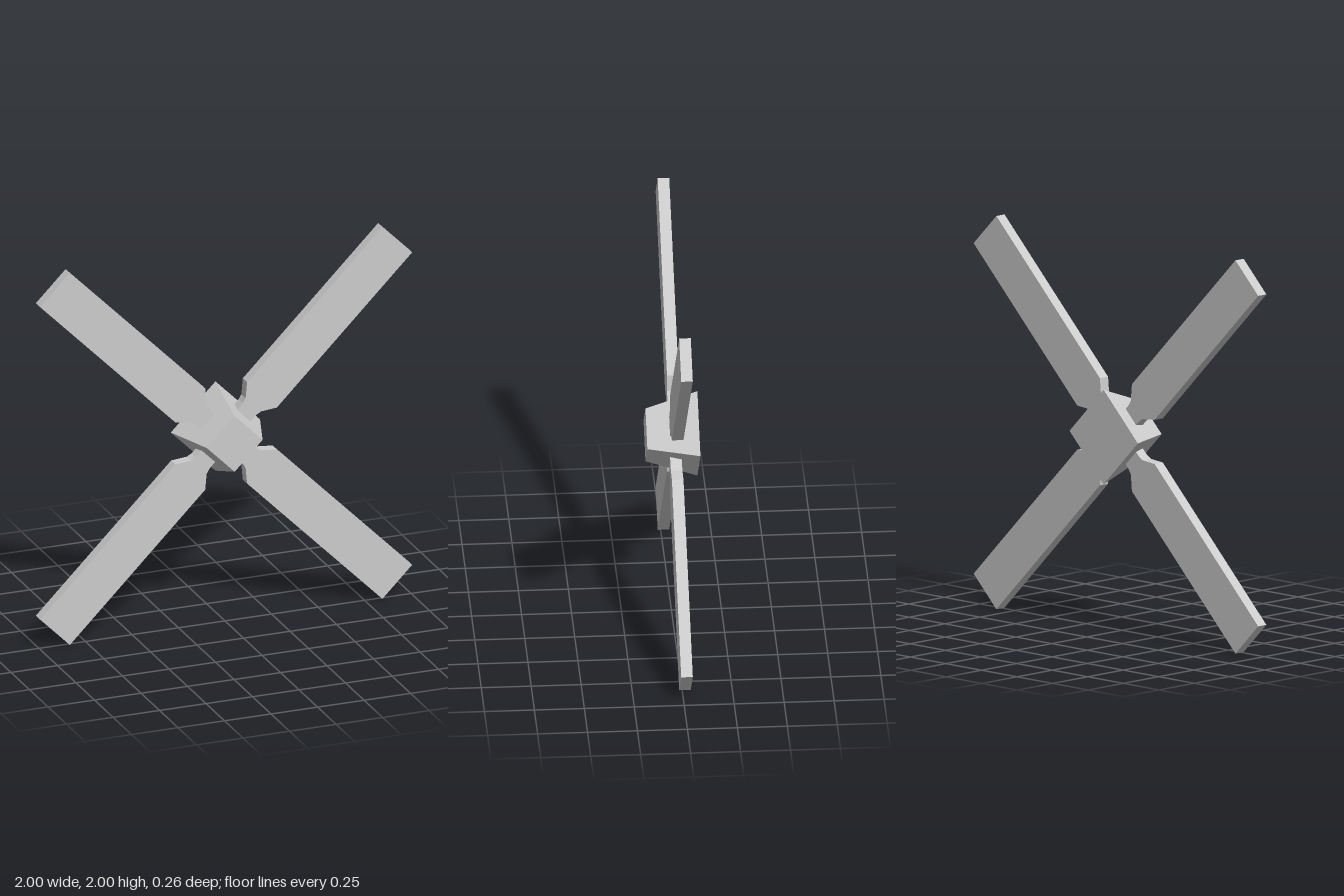
import * as THREE from 'three';

export function createModel() {
  const model = new THREE.Group();
  model.name = 'fourBladeRotor';
  const material = new THREE.MeshStandardMaterial({ color: 0xcccccc, flatShading: true });

  // Tapered square hub, set on its corner, narrow end to the front
  const hubGeometry = new THREE.CylinderGeometry(0.15, 0.24, 0.26, 4);
  hubGeometry.rotateX(Math.PI / 2);
  const hub = new THREE.Mesh(hubGeometry, material);
  hub.name = 'hub';
  hub.position.y = 1;
  model.add(hub);

  // Half outline of a blade along +x: narrow root, shoulder, straight edge, tip
  const half = [
    [0.1, 0.049], [0.18, 0.052], [0.207, 0.059], [0.272, 0.113], [1.301, 0.113],
  ];
  const outline = [
    ...half.map(([x, y]) => new THREE.Vector2(x, -y)),
    ...half.map(([x, y]) => new THREE.Vector2(x, y)).reverse(),
  ];
  const bladeGeometry = new THREE.ExtrudeGeometry(new THREE.Shape(outline), {
    depth: 0.058, bevelEnabled: false,
  });
  bladeGeometry.translate(0, 0, -0.043);

  // Four blades on the diagonals
  for (let i = 0; i < 4; i++) {
    const blade = new THREE.Mesh(bladeGeometry, material);
    blade.name = `blade${i + 1}`;
    blade.position.y = 1;
    blade.rotation.z = Math.PI / 4 + (i * Math.PI) / 2;
    model.add(blade);
  }
  return model;
}
